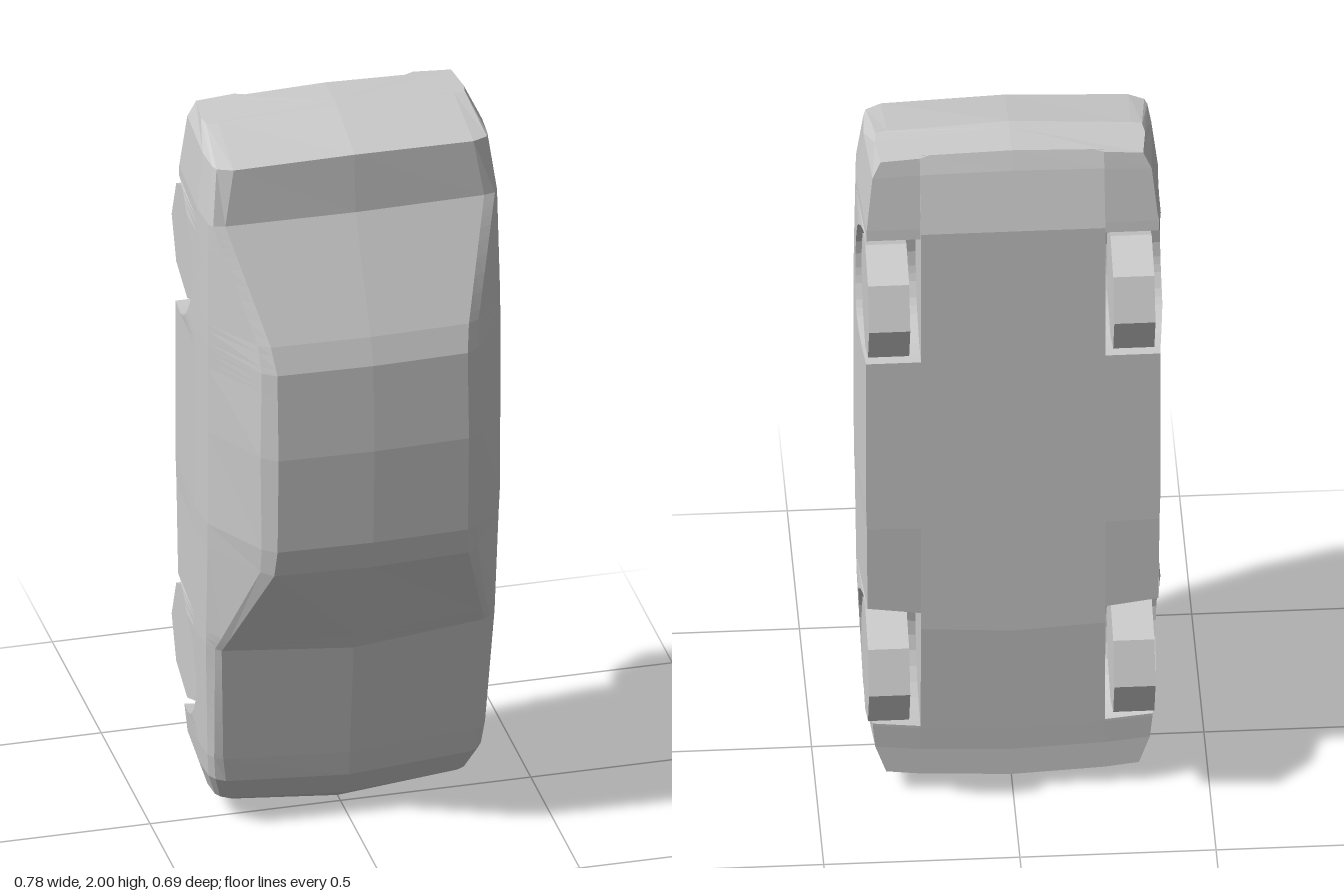
import * as THREE from 'three';

const lerp = THREE.MathUtils.lerp;
const WHEELS_Y = [0.415, 1.572];
const ARCH_R = 0.187, ARCH_Z = -0.19, WELL_X = 0.235;

// Stations from nose to tail (the car stands on its nose, roof towards +z):
// y, floor z, sill z, half width, belt z, shoulder x, shoulder z, top x, top z, bow
const STATIONS = [
  [0.03, -0.08, -0.08, 0.29, -0.05, 0.285, -0.045, 0.275, -0.03, 0.025],
  [0.07, -0.20, -0.20, 0.335, 0.00, 0.32, 0.015, 0.30, 0.03, 0.025],
  [0.15, -0.20, -0.20, 0.363, 0.045, 0.345, 0.065, 0.32, 0.085, 0.025],
  [0.22, -0.205, -0.205, 0.37, 0.06, 0.352, 0.08, 0.33, 0.095, 0.025],
  [0.56, -0.225, -0.215, 0.385, 0.10, 0.36, 0.12, 0.345, 0.137, 0.04],
  [0.86, -0.225, -0.225, 0.388, 0.13, 0.285, 0.29, 0.255, 0.325, 0.008],
  [0.93, -0.225, -0.225, 0.39, 0.135, 0.285, 0.305, 0.25, 0.339, 0],
  [1.20, -0.225, -0.225, 0.39, 0.14, 0.29, 0.312, 0.25, 0.35, 0],
  [1.44, -0.225, -0.225, 0.39, 0.14, 0.285, 0.305, 0.25, 0.337, 0],
  [1.51, -0.225, -0.225, 0.389, 0.14, 0.29, 0.285, 0.26, 0.31, 0],
  [1.79, -0.225, -0.20, 0.385, 0.125, 0.37, 0.14, 0.34, 0.155, 0],
  [1.94, -0.18, -0.18, 0.367, 0.095, 0.355, 0.115, 0.315, 0.143, -0.01],
  [1.985, -0.16, -0.172, 0.345, -0.05, 0.34, -0.045, 0.31, -0.035, -0.015],
];

function stationAt(y) {
  let i = 0;
  while (i < STATIONS.length - 2 && STATIONS[i + 1][0] < y) i++;
  const a = STATIONS[i], b = STATIONS[i + 1];
  const t = (y - a[0]) / (b[0] - a[0]);
  return a.map((v, k) => lerp(v, b[k], t));
}

// Closed cross-section; inside a wheel arch the sill rises to the arch curve
function ringAt(y, inArch) {
  const [, floor, sill, w, belt, sx, sz, tx, tz, bow] = stationAt(y);
  let edge = sill;
  for (const wy of WHEELS_Y) {
    const d = Math.abs(y - wy);
    if (inArch && d <= ARCH_R) edge = ARCH_Z + Math.sqrt(ARCH_R ** 2 - d * d);
  }
  const sillX = w - 0.015 * THREE.MathUtils.clamp((-0.07 - edge) / 0.15, 0, 1);
  const half = [
    [0, floor], [WELL_X, floor], [WELL_X, edge], [sillX, edge],
    [w, Math.max(lerp(sill, belt, 0.72), edge + 0.004)],
    [w * 0.985, belt], [sx, sz], [tx, tz - 0.008], [0, tz],
  ];
  const mirrored = half.slice(1, -1).reverse().map(([x, z]) => [-x, z]);
  return [...half, ...mirrored].map(([x, z]) => [x, y - bow * (1 - (x / w) ** 2), z]);
}

function bodyGeometry() {
  // Plain stations plus samples along each wheel arch
  const cuts = STATIONS.map(s => [s[0], true]);
  for (const wy of WHEELS_Y) {
    cuts.push([wy - ARCH_R - 0.0005, false], [wy + ARCH_R + 0.0005, false]);
    for (let i = 0; i <= 14; i++) cuts.push([wy - ARCH_R * 0.9999 * Math.cos(Math.PI * i / 14), true]);
  }
  cuts.sort((a, b) => a[0] - b[0]);
  const rings = cuts.map(([y, arch]) => ringAt(y, arch));
  const n = rings[0].length, pos = [];
  const tri = (a, b, c) => pos.push(...a, ...b, ...c);
  for (let s = 0; s < rings.length - 1; s++) {
    for (let j = 0; j < n; j++) {
      const k = (j + 1) % n, a = rings[s], b = rings[s + 1];
      tri(a[j], b[j], b[k]);
      tri(a[j], b[k], a[k]);
    }
  }
  // Nose and tail caps
  const first = rings[0], last = rings[rings.length - 1];
  const noseMid = [0, 0.005, -0.06], tailMid = [0, 2, -0.06];
  for (let j = 0; j < n; j++) {
    const k = (j + 1) % n;
    tri(noseMid, first[j], first[k]);
    tri(tailMid, last[k], last[j]);
  }
  const geo = new THREE.BufferGeometry();
  geo.setAttribute('position', new THREE.Float32BufferAttribute(pos, 3));
  geo.computeVertexNormals();
  return geo;
}

export function createModel() {
  const group = new THREE.Group();
  group.name = 'car';
  const grey = new THREE.MeshStandardMaterial({ color: 0xcccccc, flatShading: true });

  // Body shell with cabin, bonnet, boot and wheel wells
  const body = new THREE.Mesh(bodyGeometry(), grey);
  body.name = 'body';
  group.add(body);

  // Eight-sided wheels
  const wheelGeo = new THREE.CylinderGeometry(0.16, 0.16, 0.105, 8).rotateZ(Math.PI / 2);
  WHEELS_Y.forEach((y, i) => {
    for (const [side, x] of [['Left', 0.322], ['Right', -0.303]]) {
      const wheel = new THREE.Mesh(wheelGeo, grey);
      wheel.name = (i ? 'rear' : 'front') + side + 'Wheel';
      wheel.position.set(x, y, -0.182);
      group.add(wheel);
    }
  });
  return group;
}
